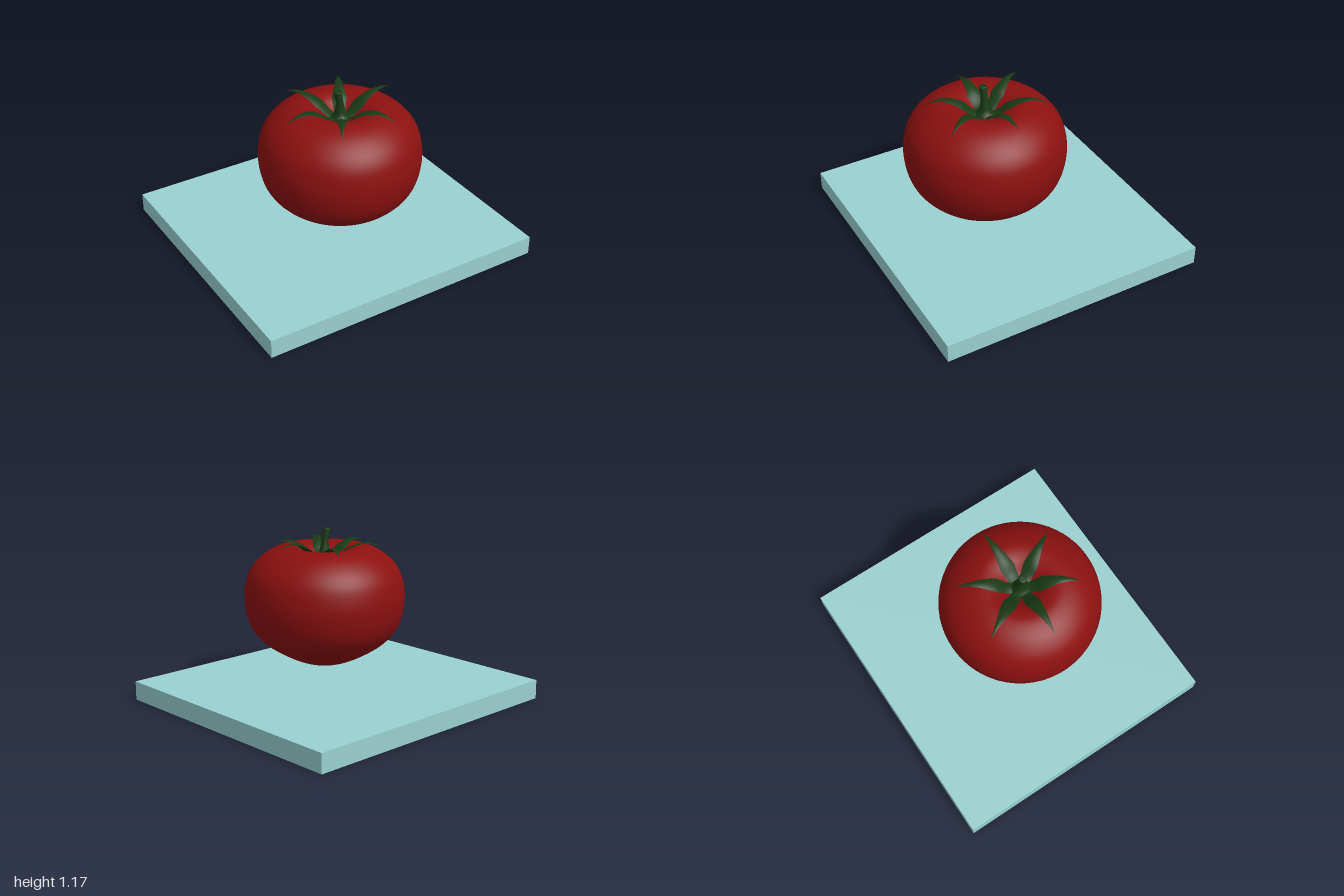
import * as THREE from 'three';

const CENTER_Z = 0.115;

function mesh(name, geometry, color, side = THREE.FrontSide) {
  const m = new THREE.Mesh(geometry, new THREE.MeshStandardMaterial({ color, side }));
  m.name = name;
  return m;
}

// Smooth curve through [x, y] pairs
const spline = (pairs) => new THREE.SplineCurve(pairs.map(([x, y]) => new THREE.Vector2(x, y)));

// Fruit body: squat profile, slightly pointed below and dimpled on top
function fruitGeometry() {
  const profile = spline([
    [0, 0.225], [0.12, 0.248], [0.25, 0.3], [0.41, 0.4], [0.505, 0.52], [0.541, 0.68],
    [0.527, 0.82], [0.487, 0.91], [0.42, 0.98], [0.34, 1.028], [0.25, 1.05],
    [0.16, 1.028], [0.08, 0.972], [0, 0.95],
  ]).getPoints(64);
  profile[0].x = profile[64].x = 0;
  return new THREE.LatheGeometry(profile, 64);
}

// One pointed leaf along +x: arched cross-sections that taper to a tip
function sepalGeometry(length, lift) {
  const height = spline([[0, 0.965], [0.08, 0.985], [0.16, 1.045], [0.25, 1.073], [0.33, 1.062], [0.4, 1.025]]);
  const width = spline([[0, 0], [0.1, 0.058], [0.15, 0.048], [0.22, 0.034], [0.3, 0.018], [0.4, 0]]);
  const rows = 24, cols = 6, positions = [], index = [];
  for (let i = 0; i <= rows; i++) {
    const t = i / rows;
    const h = height.getPoint(t);
    // Width is looked up by radius, so both curves stay in step
    let lo = 0, hi = 1;
    for (let k = 0; k < 20; k++) {
      const mid = (lo + hi) / 2;
      if (width.getPoint(mid).x < h.x) lo = mid; else hi = mid;
    }
    const w = Math.max(0, width.getPoint(lo).y);
    for (let j = 0; j <= cols; j++) {
      const s = (j / cols) * 2 - 1;
      positions.push(h.x * length / 0.4, h.y + lift * t * t - 0.25 * w * s * s, s * w);
    }
  }
  for (let i = 0; i < rows; i++) {
    for (let j = 0; j < cols; j++) {
      const a = i * (cols + 1) + j, b = a + cols + 1;
      index.push(a, a + 1, b, a + 1, b + 1, b);
    }
  }
  const g = new THREE.BufferGeometry();
  g.setAttribute('position', new THREE.Float32BufferAttribute(positions, 3));
  g.setIndex(index);
  g.computeVertexNormals();
  return g;
}

// Stem: lathe with a flared foot, bent sideways toward its top
function stemGeometry() {
  const profile = spline([[0.07, 0.965], [0.042, 0.995], [0.03, 1.04], [0.024, 1.09], [0.026, 1.14], [0.028, 1.165]]).getPoints(20);
  profile.push(new THREE.Vector2(0.022, 1.17), new THREE.Vector2(0, 1.168));
  const g = new THREE.LatheGeometry(profile, 20);
  const p = g.attributes.position;
  for (let i = 0; i < p.count; i++) {
    const t = (p.getY(i) - 0.965) / 0.2;
    p.setX(i, p.getX(i) + 0.012 * t - 0.034 * t * t);
    p.setY(i, p.getY(i) + 0.25 * p.getX(i) * Math.max(0, t - 0.5));
  }
  g.computeVertexNormals();
  return g;
}

export function createModel() {
  const model = new THREE.Group();
  model.name = 'tomatoOnBoard';

  // Flat board
  const board = mesh('board', new THREE.BoxGeometry(2, 0.13, 1.86), 0x9ad0d0);
  board.position.y = 0.065;
  model.add(board);

  // Fruit with its leaves and stem, hovering above the board
  const tomato = new THREE.Group();
  tomato.name = 'tomato';
  tomato.position.z = CENTER_Z;
  tomato.add(mesh('fruit', fruitGeometry(), 0x8c1010));

  const calyx = new THREE.Group();
  calyx.name = 'calyx';
  // Each leaf: direction in degrees, length, lift of the tip
  const sepals = [[2, 0.41, 0.055], [60, 0.415, 0.025], [120, 0.42, 0.03], [179, 0.4, 0], [240, 0.39, 0], [300, 0.4, 0.005]];
  for (const [angle, length, lift] of sepals) {
    const leaf = mesh('sepal', sepalGeometry(length, lift), 0x183a14, THREE.DoubleSide);
    leaf.rotation.y = THREE.MathUtils.degToRad(angle);
    calyx.add(leaf);
  }
  tomato.add(calyx, mesh('stem', stemGeometry(), 0x183a14));
  model.add(tomato);
  return model;
}
